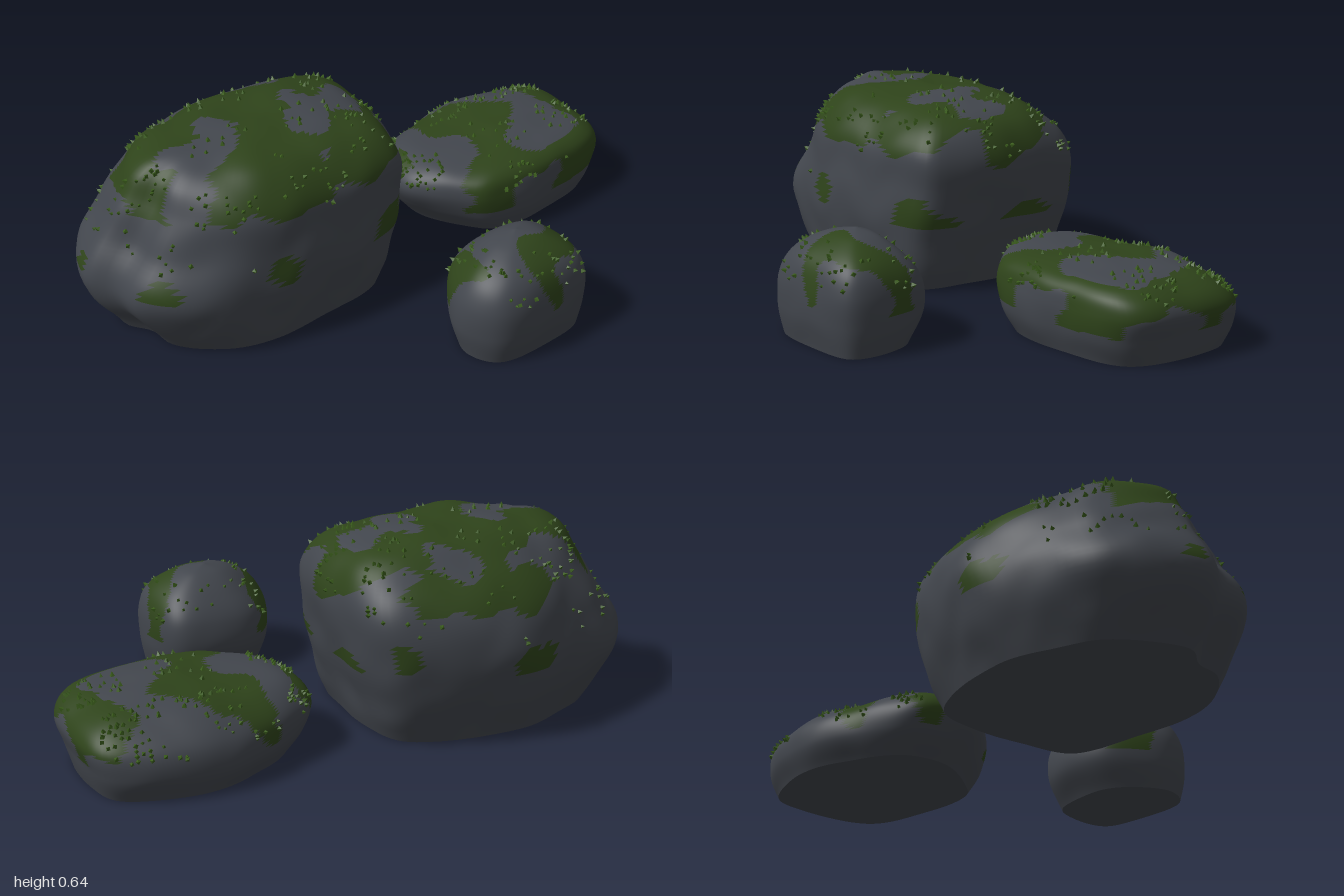
import * as THREE from 'three';
import { mergeGeometries } from 'three/addons/utils/BufferGeometryUtils.js';

const AROUND = 110, UP = 56;
const stone = new THREE.MeshStandardMaterial({ color: 0x42464d });
const moss = new THREE.MeshStandardMaterial({ color: 0x2e431a });
const leaf = new THREE.MeshStandardMaterial({ color: 0x3a5c1c });

// smooth, repeatable bumps in about -1..1
function bumps(x, y, z, f) {
  return (Math.sin(f * x + 1.3 * Math.sin(f * 0.7 * z + 1)) + Math.sin(f * 1.1 * z + 1.5 * Math.sin(f * 0.8 * y))
    + Math.sin(f * 0.9 * y + 1.2 * Math.sin(f * 0.9 * x + 2))) / 3;
}

function seeded(s) {
  return () => (s = (s * 16807) % 2147483647) / 2147483647;
}

function indexed(pos, normals, index) {
  const g = new THREE.BufferGeometry();
  g.setAttribute('position', pos);
  if (normals) g.setAttribute('normal', normals);
  g.setIndex(index);
  return g;
}

// outline: plan points [x, z]; levels: [y, xMin, xMax, zMin, zMax] from the ground up; top: [x, y, z]
function makeRock(name, { rough, tufts, seed, top, outline, levels }) {
  const group = new THREE.Group();
  group.name = name;
  const plan = new THREE.CatmullRomCurve3(outline.map(([x, z]) => new THREE.Vector3(x, 0, z)), true)
    .getSpacedPoints(AROUND).slice(0, AROUND);
  const box = new THREE.Box3().setFromPoints(plan), size = box.getSize(new THREE.Vector3());
  const mid = box.getCenter(new THREE.Vector3());
  const [tipX, height, tipZ] = top;
  const rows = [...levels, [height, tipX, tipX, tipZ, tipZ]];
  const xs = new THREE.CatmullRomCurve3(rows.map(r => new THREE.Vector3(r[1], r[0], r[2])), false, 'catmullrom');
  const zs = new THREE.CatmullRomCurve3(rows.map(r => new THREE.Vector3(r[3], 0, r[4])), false, 'catmullrom');

  // stacked rings, each the plan outline fitted to its level
  const verts = [];
  const add = (x, y, z) => {
    const d = rough * (bumps(x, y, z, 13) + 0.5 * bumps(z, x, y, 27));
    const dir = new THREE.Vector3((x - mid.x) / size.x, (y - height * 0.4) / height * 0.8, (z - mid.z) / size.z).normalize();
    const fade = Math.min(1, y / 0.08);
    verts.push(x + dir.x * d, y + dir.y * d * fade, z + dir.z * d);
  };
  for (let j = 0; j < UP; j++) {
    const a = xs.getPoint(j / UP), b = zs.getPoint(j / UP);
    for (const p of plan) {
      const u = (p.x - box.min.x) / size.x, v = (p.z - box.min.z) / size.z;
      add(a.x + (a.z - a.x) * u, Math.max(0, a.y), b.x + (b.z - b.x) * v);
    }
  }
  add(tipX, height, tipZ);

  const tris = [];
  for (let j = 0; j < UP; j++) for (let i = 0; i < AROUND; i++) {
    const a = j * AROUND + i, b = j * AROUND + (i + 1) % AROUND;
    if (j === UP - 1) tris.push([a, UP * AROUND, b]);
    else tris.push([a, a + AROUND, b], [b, a + AROUND, b + AROUND]);
  }
  const pos = new THREE.Float32BufferAttribute(verts, 3);
  const whole = indexed(pos, null, tris.flat());
  whole.computeVertexNormals();
  const nor = whole.attributes.normal;

  // upward-facing patches become moss, the rest stays bare stone
  const bare = [], green = [];
  for (const t of tris) {
    const k = t[0], x = pos.getX(k), y = pos.getY(k), z = pos.getZ(k);
    const cover = bumps(x + seed, y, z, 15) + 0.35 * bumps(z, y, x, 33) + 0.45 * nor.getY(k) + 0.3 * y / height;
    (cover > 0.66 && y > height * 0.35 ? green : bare).push(...t);
  }
  const put = (geo, mat, part) => {
    const m = new THREE.Mesh(geo, mat);
    m.name = part;
    group.add(m);
  };
  put(indexed(pos, nor, bare), stone, name + 'Stone');
  put(indexed(pos, nor, green), moss, name + 'MossPatches');

  // flat underside
  const foot = [];
  for (let i = 0; i < AROUND; i++) foot.push(new THREE.Vector2(pos.getX(i), pos.getZ(i)));
  put(new THREE.ShapeGeometry(new THREE.Shape(foot)).rotateX(Math.PI / 2), stone, name + 'Underside');

  // tiny moss tufts, clumped on the upper surface
  const rnd = seeded(seed * 977 + 5), bits = [], up = new THREE.Vector3(0, 1, 0);
  for (let n = 0; n < 20000 && bits.length < tufts; n++) {
    const k = Math.floor(rnd() * UP * AROUND);
    const p = new THREE.Vector3().fromBufferAttribute(pos, k), q = new THREE.Vector3().fromBufferAttribute(nor, k);
    // thin out the crowded rings near the tip
    const spread = Math.hypot((p.x - tipX) / size.x, (p.z - tipZ) / size.z) * 2;
    if (q.y < 0.2 || p.y < height * 0.5 || rnd() > spread || bumps(p.z, p.x + seed, p.y, 24) < -0.05) continue;
    const s = 0.007 + 0.005 * rnd();
    const cone = new THREE.ConeGeometry(s, s * 1.7, 4).toNonIndexed();
    cone.rotateY(rnd() * 3).translate(0, s * 0.5, 0);
    cone.applyQuaternion(new THREE.Quaternion().setFromUnitVectors(up, q)).translate(p.x, p.y, p.z);
    cone.computeVertexNormals();
    bits.push(cone);
  }
  put(mergeGeometries(bits), leaf, name + 'MossTufts');
  return group;
}

export function createModel() {
  const model = new THREE.Group();
  model.name = 'mossyRocks';

  model.add(makeRock('largeBoulder', {
    rough: 0.012, tufts: 240, seed: 3, top: [-0.36, 0.63, -0.2],
    outline: [[-1, -.24], [-.87, -.49], [-.76, -.57], [-.45, -.66], [-.24, -.655], [.04, -.54], [.09, -.25],
      [.05, .03], [0, .1], [-.65, .16], [-.9, -.01], [-.93, -.13]],
    levels: [[0, -.88, -.01, -.58, .12], [.2, -1, .05, -.65, .16], [.36, -.92, .085, -.65, .15],
      [.48, -.85, .08, -.59, .13], [.57, -.79, .02, -.49, .06], [.615, -.66, -.09, -.36, -.04]],
  }));

  model.add(makeRock('flatRock', {
    rough: 0.009, tufts: 230, seed: 8, top: [0.6, 0.265, -0.19],
    outline: [[.19, -.17], [.21, -.36], [.42, -.49], [.68, -.55], [.93, -.48], [.99, -.4], [.98, -.08],
      [.89, .01], [.42, .06], [.33, .01]],
    levels: [[0, .28, .95, -.52, .03], [.08, .22, .975, -.55, .055], [.16, .19, .995, -.53, .06],
      [.22, .24, .95, -.45, .04], [.25, .36, .85, -.34, -.03]],
  }));

  model.add(makeRock('smallRock', {
    rough: 0.006, tufts: 70, seed: 14, top: [0.2, 0.358, 0.46],
    outline: [[-.05, .5], [.03, .33], [.14, .27], [.36, .295], [.41, .37], [.4, .61], [.05, .66], [-.02, .61]],
    levels: [[0, -.03, .39, .33, .64], [.1, -.05, .41, .277, .66], [.2, -.045, .41, .285, .655],
      [.28, .01, .375, .34, .62], [.335, .1, .29, .4, .54]],
  }));
  return model;
}
